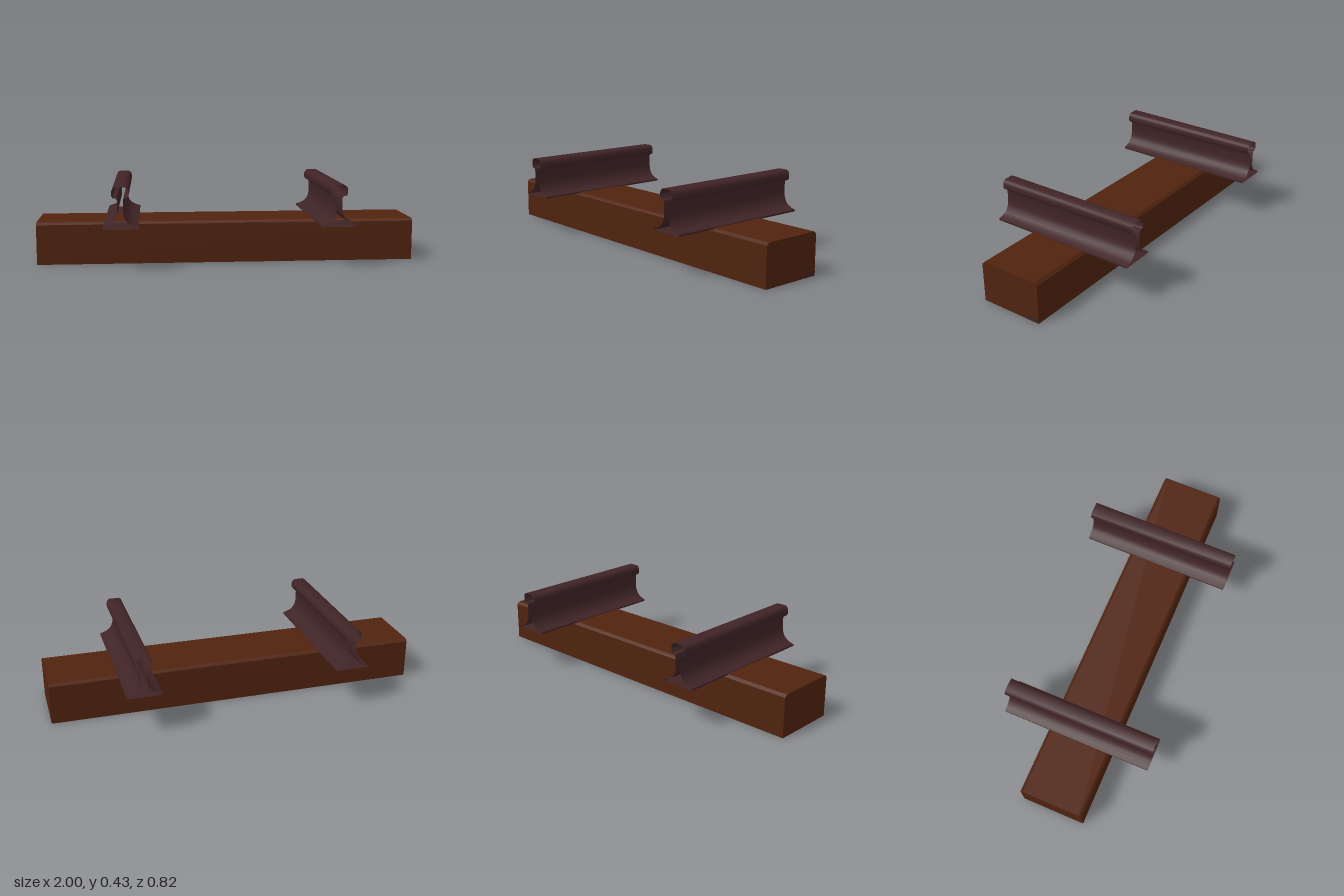
import * as THREE from 'three';
import { toCreasedNormals } from 'three/addons/utils/BufferGeometryUtils.js';

const wood = new THREE.MeshStandardMaterial({ color: 0x50230f });
wood.name = 'brown wood';
const steel = new THREE.MeshStandardMaterial({ color: 0x402426, side: THREE.DoubleSide });
steel.name = 'dark rusty steel';

const toShape = (points) => new THREE.Shape(points.map(([x, y]) => new THREE.Vector2(x, y)));

function addMesh(parent, name, geometry, material) {
  const mesh = new THREE.Mesh(geometry, material);
  mesh.name = name;
  parent.add(mesh);
  return mesh;
}

// Rail section: flat foot, concave flare, slim web, rounded head; open at both ends
function railGeometry() {
  const half = [
    [0.09, 0.218], [0.09, 0.227], [0.066, 0.234], [0.044, 0.245], [0.028, 0.262],
    [0.018, 0.285], [0.015, 0.31], [0.015, 0.366], [0.019, 0.375], [0.036, 0.378],
    [0.043, 0.388], [0.043, 0.411], [0.038, 0.424], [0.026, 0.432],
  ];
  const mirrored = half.map(([x, y]) => [-x, y]).reverse();
  const solid = new THREE.ExtrudeGeometry(toShape([...half, ...mirrored]), { depth: 0.82, bevelEnabled: false });
  // Keep only the side walls
  const { start, count } = solid.groups[1];
  const walls = new THREE.BufferGeometry();
  const positions = solid.attributes.position.array.slice(start * 3, (start + count) * 3);
  walls.setAttribute('position', new THREE.BufferAttribute(positions, 3));
  walls.translate(0, 0, -0.41);
  return toCreasedNormals(walls, 0.75);
}

export function createModel() {
  const model = new THREE.Group();
  model.name = 'trackSection';

  // Sleeper with chamfered upper edges; section is drawn in (-z, y) and turned to run along x
  const section = toShape([
    [-0.19, 0], [0.155, 0], [0.155, 0.21], [0.14, 0.223], [-0.177, 0.223], [-0.19, 0.21],
  ]);
  const sleeper = new THREE.ExtrudeGeometry(section, { depth: 2, bevelEnabled: false });
  sleeper.translate(0, 0, -1).rotateY(Math.PI / 2);
  addMesh(model, 'sleeper', sleeper, wood);

  // Dark stain at the lower corner of one end
  const stain = toShape([
    [0.075, 0], [0.155, 0], [0.155, 0.026], [0.115, 0.026], [0.095, 0.021], [0.082, 0.012],
  ]);
  const stainGeometry = new THREE.ShapeGeometry(stain).rotateY(Math.PI / 2);
  addMesh(model, 'endStain', stainGeometry, steel).position.x = 1.001;

  // Pair of rails
  const rail = railGeometry();
  for (const [name, x] of [['leftRail', 0.555], ['rightRail', -0.555]]) {
    addMesh(model, name, rail, steel).position.x = x;
  }
  return model;
}
